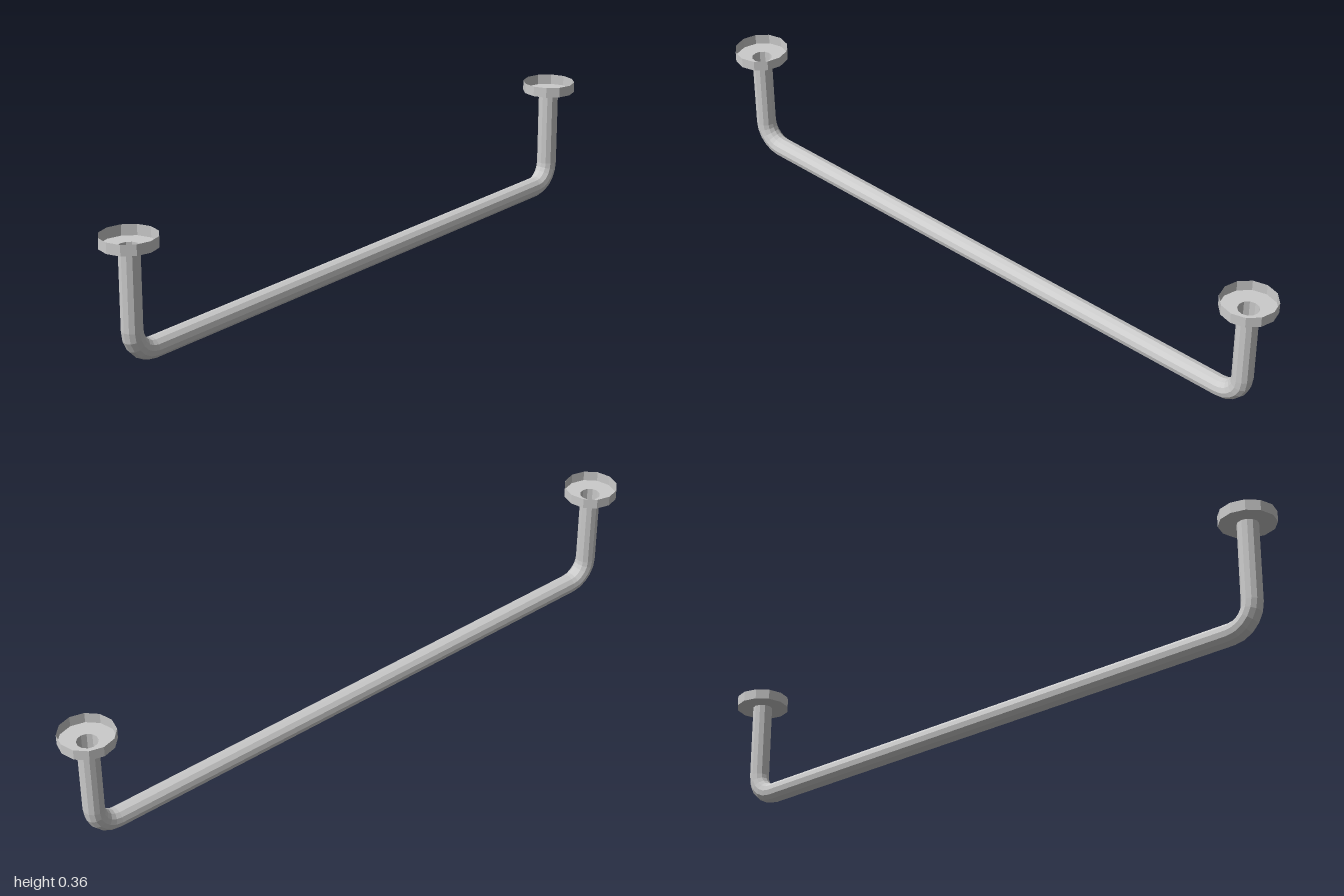
import * as THREE from 'three';

const SIDES = 12;
const TUBE_R = 0.03;    // rail tube radius
const BEND_R = 0.07;    // bend centreline radius
const AXIS_Y = 0.033;   // height of the horizontal rail axis
const POST_Z = 0.92;    // post axis distance from the centre
const FLOOR_Y = 0.335;  // underside of the mounting cup
const TOP_Y = 0.366;    // rim of the mounting cup
const CUP_R = 0.08;

const material = new THREE.MeshStandardMaterial({
  color: 0xcccccc,
  flatShading: true,
  side: THREE.DoubleSide,
});

function part(name, geometry, y, z) {
  const mesh = new THREE.Mesh(geometry, material);
  mesh.name = name;
  mesh.position.set(0, y, z);
  return mesh;
}

// One end of the rail: bend, upright post and open mounting cup
function createEnd(name) {
  const end = new THREE.Group();
  end.name = name;
  const bendY = AXIS_Y + BEND_R;

  const bend = new THREE.TorusGeometry(BEND_R, TUBE_R, SIDES, 5, Math.PI / 2)
    .rotateZ(-Math.PI / 2)
    .rotateY(-Math.PI / 2);
  end.add(part('bend', bend, bendY, POST_Z - BEND_R));

  const postH = FLOOR_Y - bendY;
  const post = new THREE.CylinderGeometry(TUBE_R, TUBE_R, postH, SIDES, 1, true);
  end.add(part('post', post, bendY + postH / 2, POST_Z));

  // Thin cup: annular floor around the hollow post, then the outer wall
  const cup = new THREE.LatheGeometry([
    new THREE.Vector2(TUBE_R, 0),
    new THREE.Vector2(CUP_R, 0),
    new THREE.Vector2(CUP_R, TOP_Y - FLOOR_Y),
  ], SIDES);
  end.add(part('mountingCup', cup, FLOOR_Y, POST_Z));
  return end;
}

export function createModel() {
  const model = new THREE.Group();
  model.name = 'grabRail';

  // Straight horizontal bar
  const length = 2 * (POST_Z - BEND_R);
  const bar = new THREE.CylinderGeometry(TUBE_R, TUBE_R, length, SIDES, 1, true)
    .rotateX(Math.PI / 2);
  model.add(part('bar', bar, AXIS_Y, 0));

  // Matching ends at front and back
  const back = createEnd('backEnd');
  back.rotation.y = Math.PI;
  model.add(createEnd('frontEnd'), back);
  return model;
}
